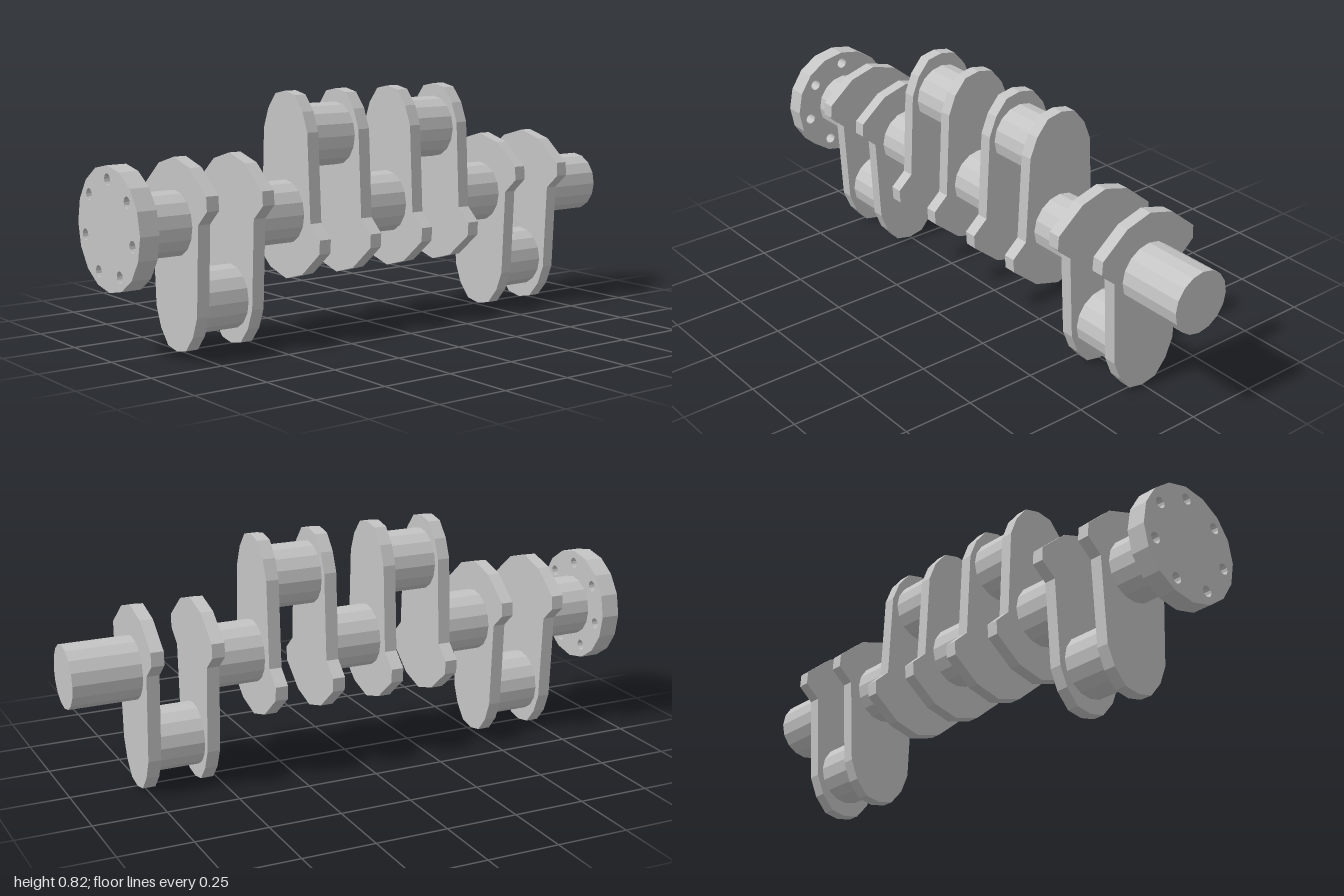
import * as THREE from 'three';

const AXIS = 0.42;     // height of the main axis
const MIRROR = 0.824;  // an upward web at y matches a downward web at MIRROR - y
const RADIUS = 0.107;  // journals and crank pins

// Half outline of a web whose pin points down, from pin end to counterweight
const WEB_HALF = [
  [0, 0.002], [0.056, 0.013], [0.1, 0.065], [0.127, 0.132], [0.142, 0.43],
  [0.195, 0.478], [0.192, 0.525], [0.095, 0.605], [0, 0.632],
];

function extrude(shape, z0, z1) {
  const g = new THREE.ExtrudeGeometry(shape, { depth: z1 - z0, bevelEnabled: false, curveSegments: 12 });
  g.translate(0, 0, z0);
  return g;
}

function ring(radius, sides, x = 0, y = 0) {
  return Array.from({ length: sides }, (_, i) => {
    const a = Math.PI / 2 + (i / sides) * Math.PI * 2;
    return new THREE.Vector2(x + radius * Math.cos(a), y + radius * Math.sin(a));
  });
}

export function createModel() {
  const model = new THREE.Group();
  model.name = 'crankshaft';
  const steel = new THREE.MeshStandardMaterial({ color: 0xc4c4c4, flatShading: true });
  steel.name = 'steel';

  const add = (name, geometry) => {
    const mesh = new THREE.Mesh(geometry, steel);
    mesh.name = name;
    model.add(mesh);
  };

  const shaft = (name, y, z0, z1) => {
    const g = new THREE.CylinderGeometry(RADIUS, RADIUS, z1 - z0, 16);
    g.rotateX(Math.PI / 2);
    g.translate(0, y, (z0 + z1) / 2);
    add(name, g);
  };

  const web = (up, z) => {
    const left = WEB_HALF.slice(1, -1).reverse().map(([x, y]) => [-x, y]);
    const points = [...WEB_HALF, ...left].map(([x, y]) => new THREE.Vector2(x, up ? MIRROR - y : y));
    add('web', extrude(new THREE.Shape(points), z - 0.022, z + 0.022));
  };

  // Mounting flange with seven bolt holes
  const flange = new THREE.Shape(ring(0.2, 16));
  for (const p of ring(0.156, 7)) flange.holes.push(new THREE.Path(ring(0.019, 12, p.x, p.y)));
  const flangeGeometry = extrude(flange, 0.933, 1);
  flangeGeometry.translate(0, 0.422, 0);
  add('flange', flangeGeometry);

  // Main journals along the axis
  for (const [z0, z1] of [[-1, -0.745], [-0.54, -0.321], [-0.113, 0.107], [0.315, 0.535], [0.741, 0.935]]) {
    shaft('mainJournal', AXIS, z0, z1);
  }

  // Crank throws: a pin held between two webs
  for (const [up, back, front] of [
    [false, -0.745, -0.54], [true, -0.321, -0.113], [true, 0.107, 0.315], [false, 0.535, 0.741],
  ]) {
    web(up, back);
    web(up, front);
    shaft('crankPin', up ? 0.67 : 0.16, back, front);
  }
  return model;
}
